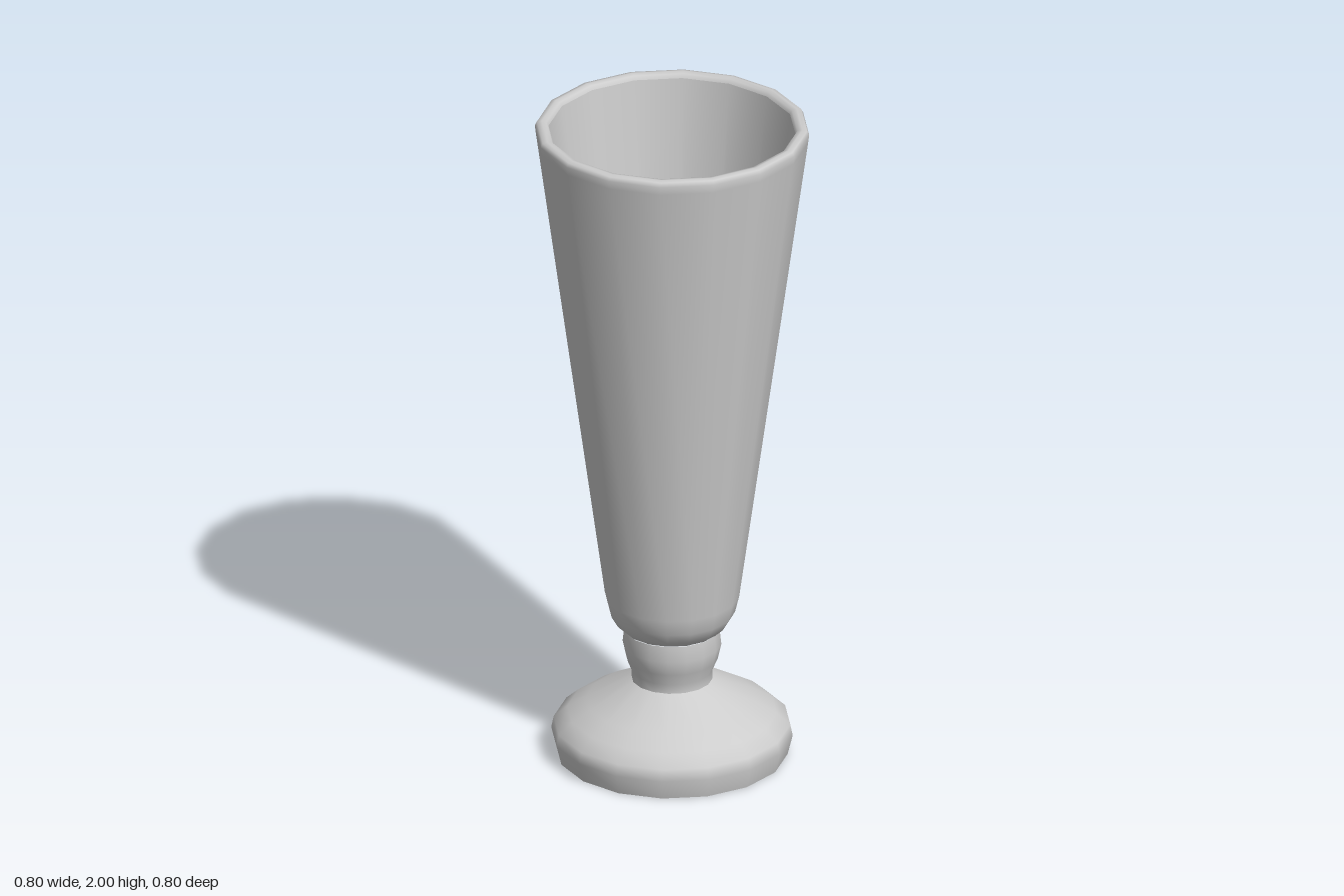
import * as THREE from 'three';

const SIDES = 16;

export function createModel() {
  const group = new THREE.Group();
  group.name = 'footedGlass';
  const grey = new THREE.MeshStandardMaterial({ color: 0xcccccc });
  grey.name = 'light grey';

  // Each part is a turned profile of [radius, height] points; edges between parts stay sharp
  const turn = (name, profile) => {
    const points = profile.map(([r, y]) => new THREE.Vector2(r, y));
    const mesh = new THREE.Mesh(new THREE.LatheGeometry(points, SIDES), grey);
    mesh.name = name;
    group.add(mesh);
  };

  // Flat underside
  turn('underside', [[0, 0], [0.337, 0]]);

  // Foot: short flared rim, rounded shoulder, cone up to the stem
  turn('foot', [
    [0.337, 0], [0.352, 0.06], [0.345, 0.095], [0.305, 0.13], [0.25, 0.163], [0.118, 0.234],
  ]);

  // Stem with a soft knop
  turn('stem', [
    [0.118, 0.234], [0.118, 0.262], [0.134, 0.3], [0.144, 0.345], [0.139, 0.393],
  ]);

  // Outside of the bowl
  turn('bowl', [
    [0.125, 0.393], [0.142, 0.396], [0.165, 0.417], [0.184, 0.45], [0.196, 0.5], [0.397, 1.96], [0.4, 1.985],
    // Rounded lip
    [0.394, 1.997], [0.38, 2], [0.366, 1.997], [0.36, 1.985],
  ]);

  // Inside of the bowl, down to a rounded floor
  turn('bowlInside', [
    [0.36, 1.985], [0.16, 0.52], [0.145, 0.475], [0.115, 0.45], [0, 0.445],
  ]);

  return group;
}
